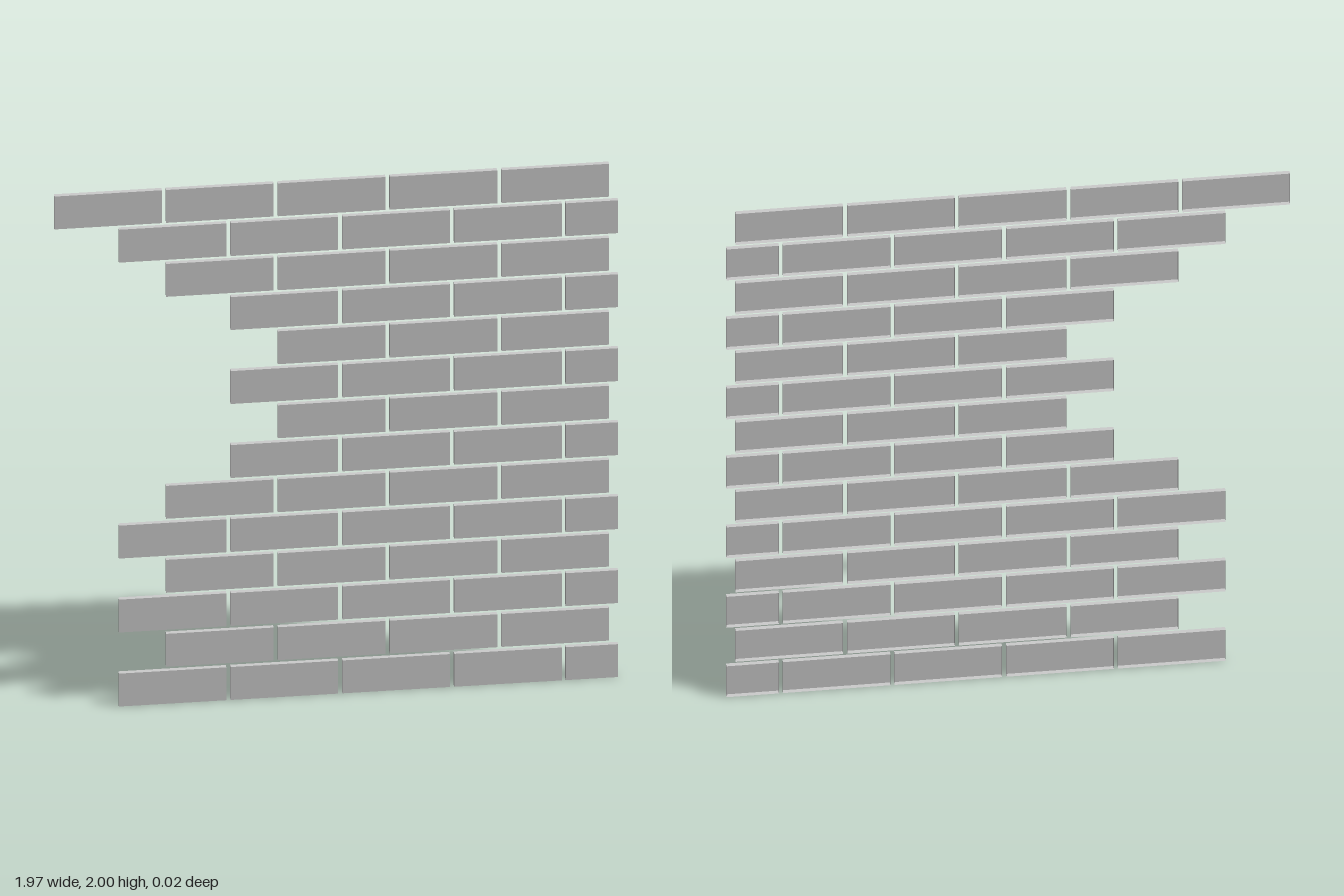
import * as THREE from 'three';

const BRICK = { width: 0.375, height: 0.128, depth: 0.018 };
const HALF_WIDTH = 0.183;
const PITCH_X = 0.39, PITCH_Y = 0.144;

// Thin brick facing: a box left open at the back
function brickGeometry(width) {
  const g = new THREE.BoxGeometry(width, BRICK.height, BRICK.depth);
  g.setIndex(Array.from(g.index.array).slice(0, 30)); // drop the -z side
  g.clearGroups();
  return g;
}

export function createModel() {
  const wall = new THREE.Group();
  wall.name = 'brickWall';
  const material = new THREE.MeshStandardMaterial({ color: 0xcccccc, side: THREE.DoubleSide });
  const full = brickGeometry(BRICK.width);
  const half = brickGeometry(HALF_WIDTH);

  // Whole bricks in each course, from the ground up; the left edge is broken away
  const counts = [4, 4, 4, 4, 4, 4, 3, 3, 3, 3, 3, 4, 4, 5];
  counts.forEach((count, row) => {
    const course = new THREE.Group();
    course.name = `course${row + 1}`;
    course.position.y = BRICK.height / 2 + row * PITCH_Y;

    const add = (geometry, x, name) => {
      const mesh = new THREE.Mesh(geometry, material);
      mesh.name = name;
      mesh.position.x = x;
      course.add(mesh);
    };

    // Alternate courses are staggered and closed by a short brick at the +x edge
    const staggered = row % 2 === 0;
    const lastX = (staggered ? 0.411 : 0.576) + BRICK.width / 2;
    for (let i = 0; i < count; i++) add(full, lastX - i * PITCH_X, 'brick');
    if (staggered) add(half, 0.8 + HALF_WIDTH / 2, 'halfBrick');
    wall.add(course);
  });
  return wall;
}
